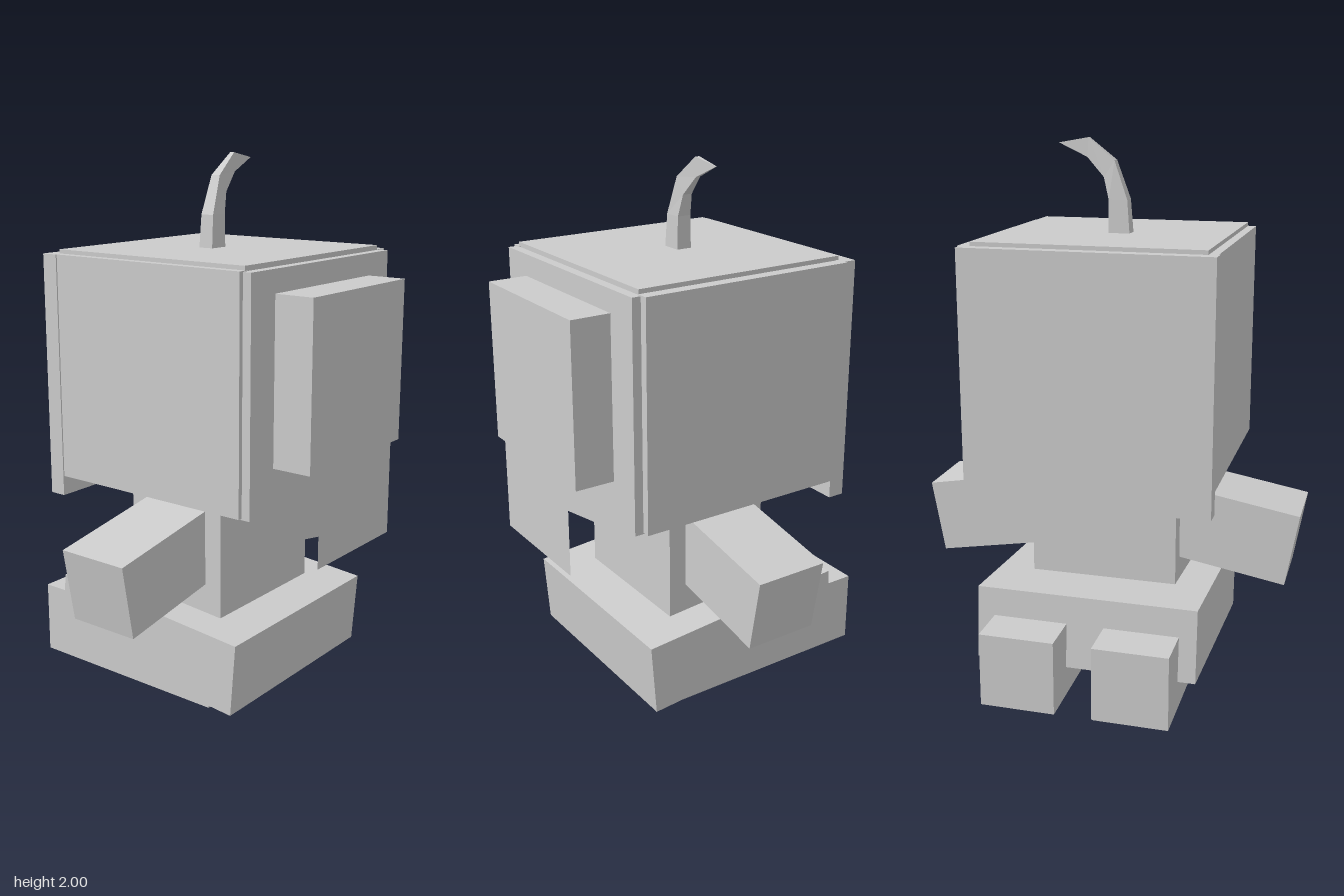
import * as THREE from 'three';

const material = new THREE.MeshStandardMaterial({ color: 0xcccccc, flatShading: true });
const doubleSided = new THREE.MeshStandardMaterial({ color: 0xcccccc, flatShading: true, side: THREE.DoubleSide });

// Box given by its extents along each axis
function box(name, [x0, x1], [y0, y1], [z0, z1]) {
  const mesh = new THREE.Mesh(new THREE.BoxGeometry(x1 - x0, y1 - y0, z1 - z0), material);
  mesh.position.set((x0 + x1) / 2, (y0 + y1) / 2, (z0 + z1) / 2);
  mesh.name = name;
  return mesh;
}

// Curved stalk: four-sided cross-sections tapering to a point
function createStalk() {
  // outer x, outer y, inner x, inner y, half depth
  const sections = [
    [-0.06, 1.65, 0.02, 1.65, 0.03],
    [-0.05, 1.78, 0.02, 1.78, 0.027],
    [0.0, 1.92, 0.04, 1.86, 0.019],
    [0.1, 2.0, 0.105, 1.93, 0.009],
    [0.215, 1.98, 0.215, 1.98, 0.001],
  ];
  const zMid = -0.018;
  const positions = [];
  const indices = [];
  sections.forEach(([ox, oy, ix, iy, d], i) => {
    positions.push(ox, oy, zMid + d, ix, iy, zMid + d, ix, iy, zMid - d, ox, oy, zMid - d);
    if (i === 0) return;
    for (let k = 0; k < 4; k++) {
      const a = (i - 1) * 4 + k;
      const b = (i - 1) * 4 + ((k + 1) % 4);
      indices.push(a, b, b + 4, a, b + 4, a + 4);
    }
  });
  const geometry = new THREE.BufferGeometry();
  geometry.setAttribute('position', new THREE.Float32BufferAttribute(positions, 3));
  geometry.setIndex(indices);
  geometry.computeVertexNormals();
  const mesh = new THREE.Mesh(geometry, doubleSided);
  mesh.name = 'stalk';
  return mesh;
}

export function createModel() {
  const model = new THREE.Group();
  model.name = 'blockFigure';

  // Head: core block with thin panels on its faces
  const head = new THREE.Group();
  head.name = 'head';
  head.add(
    box('headCore', [-0.425, 0.43], [0.81, 1.64], [-0.4, 0.425]),
    box('frontPanel', [-0.435, 0.435], [0.805, 1.642], [0.4, 0.463]),
    box('backPanel', [-0.457, 0.453], [0.735, 1.645], [-0.457, -0.393]),
    box('leftPanel', [0.42, 0.465], [0.81, 1.645], [-0.41, 0.43]),
    box('rightPanel', [-0.452, -0.41], [0.81, 1.645], [-0.4, 0.43]),
    box('topPanel', [-0.42, 0.417], [1.63, 1.66], [-0.41, 0.427]),
    createStalk()
  );
  model.add(head);

  // Face block and the thin flap hanging flush with its front
  model.add(box('face', [-0.3, 0.3], [0.96, 1.56], [0.46, 0.613]));
  const flap = new THREE.Mesh(new THREE.PlaneGeometry(0.48, 0.35), doubleSided);
  flap.position.set(0, 0.785, 0.613);
  flap.name = 'faceFlap';
  model.add(flap);

  // Body
  model.add(box('torso', [-0.28, 0.28], [0.3, 0.83], [-0.2, 0.22]));

  // Hips, tipped down towards the front
  const hips = new THREE.Mesh(new THREE.BoxGeometry(0.83, 0.276, 0.837), material);
  hips.position.set(0, 0.216, -0.038);
  hips.rotation.x = 0.078;
  hips.name = 'hips';
  model.add(hips);

  // Arms and feet, mirrored
  for (const side of [1, -1]) {
    const prefix = side > 0 ? 'left' : 'right';
    const arm = new THREE.Mesh(new THREE.BoxGeometry(0.55, 0.28, 0.28), material);
    arm.position.set(side * 0.434, 0.566, 0.01);
    arm.rotation.z = -side * THREE.MathUtils.degToRad(10);
    arm.name = prefix + 'Arm';
    const foot = new THREE.Mesh(new THREE.BoxGeometry(0.28, 0.28, 0.835), material);
    foot.position.set(side * 0.21, 0.14, -0.198);
    foot.name = prefix + 'Foot';
    model.add(arm, foot);
  }
  return model;
}
